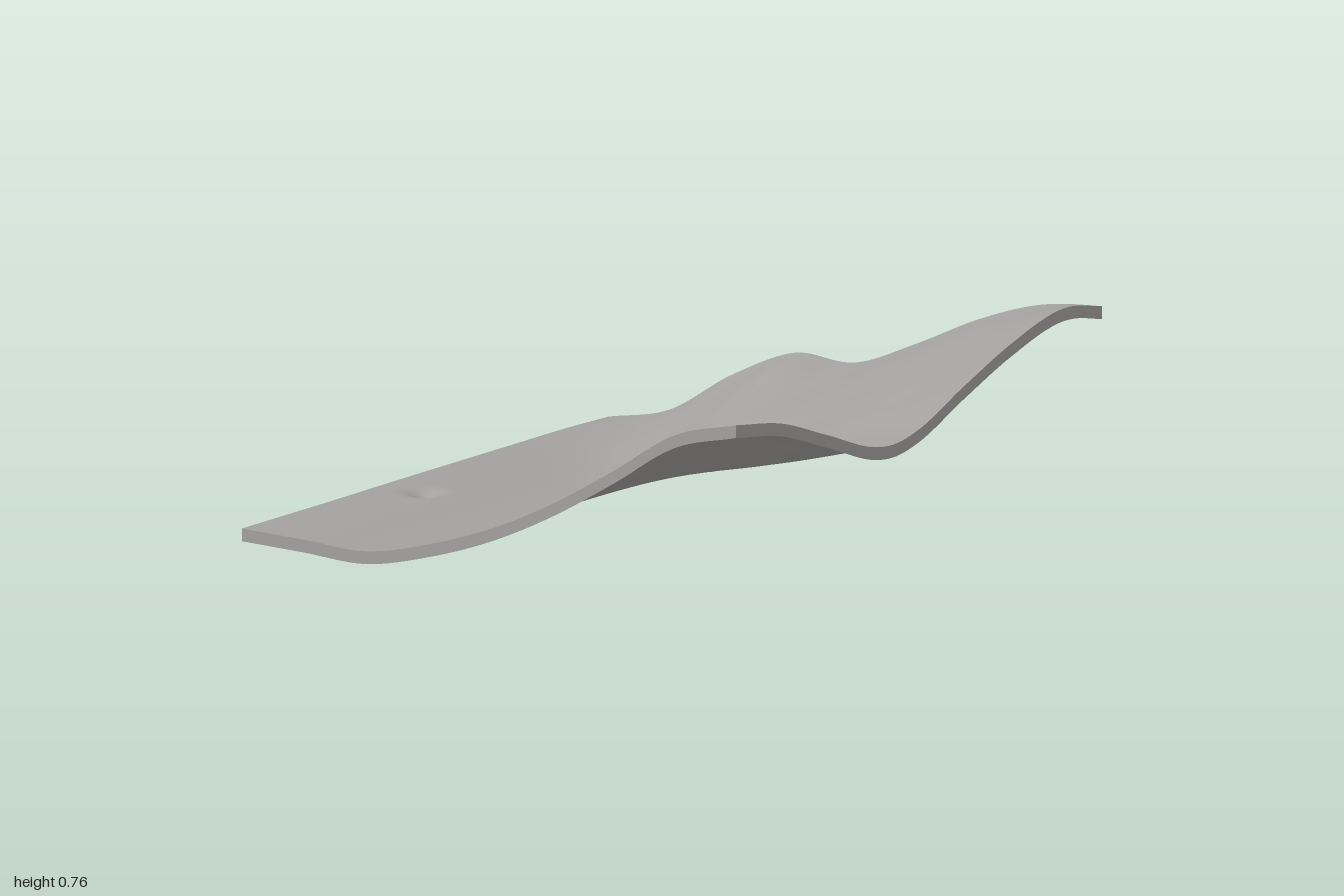
import * as THREE from 'three';

// Control heights: rows run from back (z = -1) to front (z = 1), columns from x = -1 to x = 1
const HEIGHTS = [
  [0.088, 0.083, 0.078, 0.074, 0.070, 0.065, 0.060, 0.055, 0.045],
  [0.089, 0.084, 0.079, 0.073, 0.068, 0.062, 0.058, 0.073, 0.108],
  [0.089, 0.084, 0.078, 0.071, 0.066, 0.065, 0.094, 0.172, 0.263],
  [0.150, 0.140, 0.132, 0.126, 0.132, 0.166, 0.226, 0.305, 0.373],
  [0.240, 0.235, 0.228, 0.222, 0.218, 0.230, 0.293, 0.340, 0.382],
  [0.362, 0.358, 0.340, 0.305, 0.280, 0.305, 0.372, 0.440, 0.485],
  [0.512, 0.500, 0.458, 0.370, 0.360, 0.420, 0.490, 0.560, 0.605],
  [0.672, 0.630, 0.545, 0.438, 0.443, 0.512, 0.590, 0.660, 0.692],
  [0.745, 0.698, 0.607, 0.520, 0.527, 0.617, 0.703, 0.757, 0.722],
];
const SKIRT = 0.043;
const SEGMENTS = 120;

// Smooth interpolation through evenly spaced values, t from 0 to 1
function spline(values, t) {
  const last = values.length - 1;
  const i = Math.min(Math.floor(t * last), last - 1);
  const f = t * last - i;
  const b = values[i], c = values[i + 1];
  const a = i > 0 ? values[i - 1] : 2 * b - c;
  const d = i + 2 <= last ? values[i + 2] : 2 * c - b;
  return b + 0.5 * f * (c - a + f * (2 * a - 5 * b + 4 * c - d + f * (3 * (b - c) + d - a)));
}

// Local features: [x, z, radius, height]
const FEATURES = [
  [0.27, -0.02, 0.11, -0.06], // sinkhole at the end of the valley
  [0.04, 0.09, 0.13, 0.03], // mound beside the sinkhole
  [0.24, -0.17, 0.10, 0.012], // sinkhole rim
  [-0.23, -0.83, 0.09, 0.012], // crater rim
  [-0.23, -0.83, 0.055, -0.038], // crater
  [-0.08, -0.25, 0.05, 0.006], // knoll
  [-0.13, 1, 0.14, -0.012], // valley mouth
  [0.88, -0.2, 0.11, 0.012], // ridge end
  [0.88, 0.95, 0.13, 0.012], // corner summit
];

function height(x, z) {
  const rows = HEIGHTS.map((row) => spline(row, (x + 1) / 2));
  let y = spline(rows, (z + 1) / 2);
  for (const [cx, cz, r, h] of FEATURES) {
    y += h * Math.exp(-((x - cx) ** 2 + (z - cz) ** 2) / (r * r));
  }
  return y;
}

// Grid surface from a rule p(u, v) => [x, y, z]
function surface(p, nu, nv) {
  const positions = [], index = [];
  for (let i = 0; i <= nu; i++) {
    for (let j = 0; j <= nv; j++) {
      positions.push(...p(i / nu, j / nv));
      if (i < nu && j < nv) {
        const a = i * (nv + 1) + j, d = a + nv + 1;
        index.push(a, a + 1, d, a + 1, d + 1, d);
      }
    }
  }
  const geometry = new THREE.BufferGeometry();
  geometry.setAttribute('position', new THREE.Float32BufferAttribute(positions, 3));
  geometry.setIndex(index);
  geometry.computeVertexNormals();
  return geometry;
}

export function createModel() {
  const group = new THREE.Group();
  group.name = 'terrainTile';
  const rock = new THREE.MeshStandardMaterial({ color: 0xa3a19f, side: THREE.DoubleSide });
  rock.name = 'grey rock';

  const add = (name, geometry) => {
    const mesh = new THREE.Mesh(geometry, rock);
    mesh.name = name;
    group.add(mesh);
  };

  // Ground surface
  add('ground', surface((u, v) => {
    const x = u * 2 - 1, z = v * 2 - 1;
    return [x, height(x, z), z];
  }, SEGMENTS, SEGMENTS));

  // Thin skirts hanging from the four borders
  const edges = {
    frontSkirt: (s) => [s, 1],
    leftSkirt: (s) => [1, -s],
    backSkirt: (s) => [-s, -1],
    rightSkirt: (s) => [-1, s],
  };
  for (const [name, edge] of Object.entries(edges)) {
    add(name, surface((u, v) => {
      const [x, z] = edge(u * 2 - 1);
      return [x, height(x, z) - v * SKIRT, z];
    }, SEGMENTS, 1));
  }
  return group;
}
